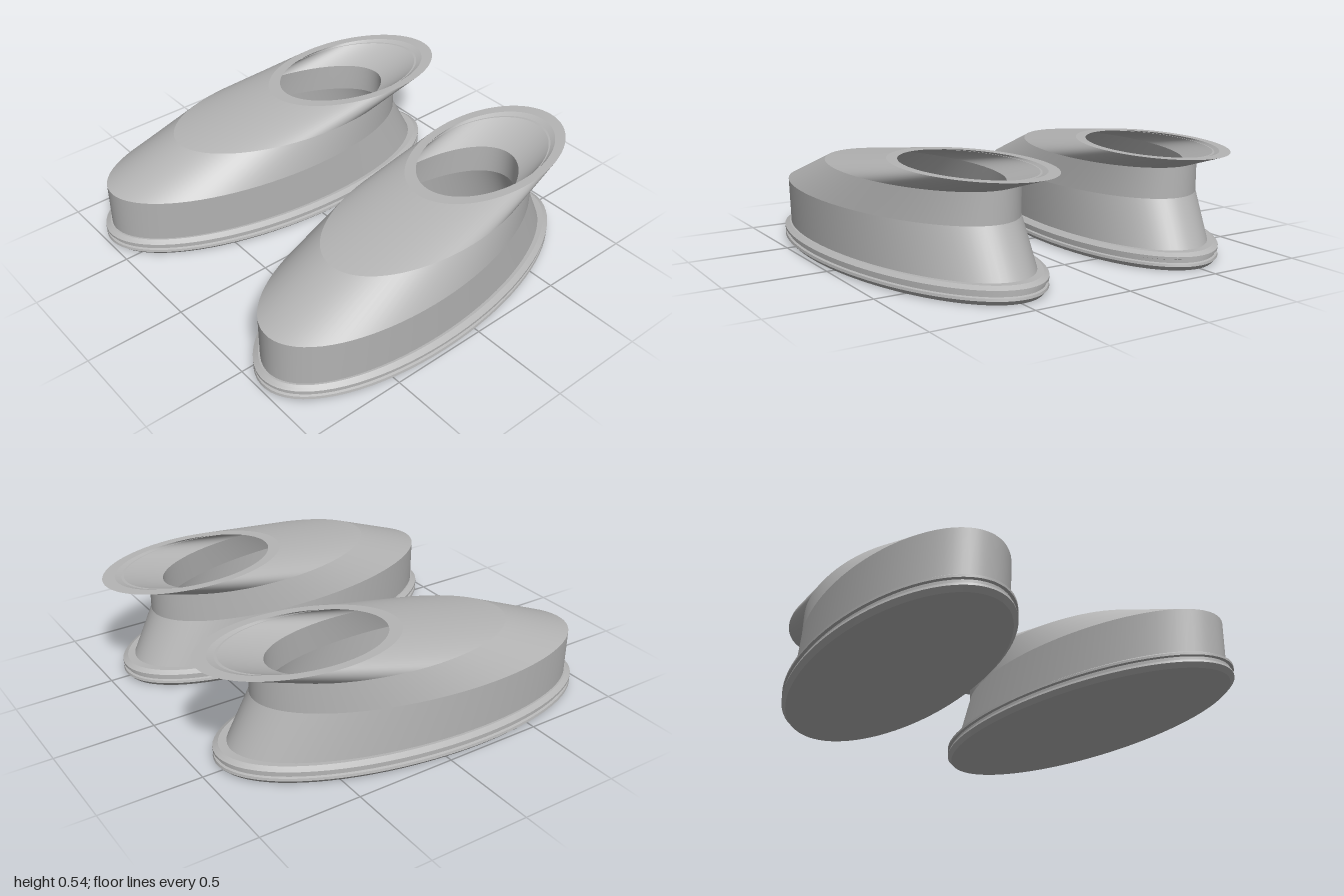
import * as THREE from 'three';

const SEGMENTS = 80;

// Lofts [y, centreZ, halfLength, halfWidth] ellipses; every band keeps its own
// vertices so it is smooth around and creased between bands.
function loft(rings) {
  const positions = [];
  const indices = [];
  const addRing = ([y, c, a, b]) => {
    for (let i = 0; i < SEGMENTS; i++) {
      const t = (i / SEGMENTS) * Math.PI * 2;
      positions.push(b * Math.cos(t), y, c + a * Math.sin(t));
    }
  };
  for (let r = 0; r < rings.length - 1; r++) {
    const base = positions.length / 3;
    addRing(rings[r]);
    addRing(rings[r + 1]);
    for (let i = 0; i < SEGMENTS; i++) {
      const j = (i + 1) % SEGMENTS;
      const p0 = base + i, p1 = base + j;
      const q0 = p0 + SEGMENTS, q1 = p1 + SEGMENTS;
      if (rings[r][2] > 0) indices.push(p0, q0, p1);
      if (rings[r + 1][2] > 0) indices.push(p1, q0, q1);
    }
  }
  const geometry = new THREE.BufferGeometry();
  geometry.setAttribute('position', new THREE.Float32BufferAttribute(positions, 3));
  geometry.setIndex(indices);
  geometry.computeVertexNormals();
  return geometry;
}

// Sole outline, inset evenly at each height to form two ribs
const soleRing = (y, inset) => [y, 0, 0.959 - inset, 0.421 - inset];

const SOLE = [
  [0, 0, 0, 0],
  soleRing(0, 0.022),
  soleRing(0.022, 0),
  soleRing(0.034, 0.003),
  soleRing(0.038, 0.014),
  soleRing(0.054, 0.014),
  soleRing(0.058, 0),
  soleRing(0.07, 0),
  soleRing(0.078, 0.014),
  soleRing(0.085, 0.026),
  [0.085, 0, 0, 0],
];

const UPPER = [
  // outside, from sole to collar
  [0.08, 0.015, 0.909, 0.382],
  [0.31, 0.075, 0.848, 0.382],
  [0.46, -0.12, 0.652, 0.342],
  [0.54, -0.535, 0.496, 0.307],
  // flat rim and small inner ledge
  [0.54, -0.535, 0.43, 0.265],
  [0.53, -0.481, 0.4495, 0.266],
  [0.53, -0.481, 0.435, 0.262],
  // inside, back down to the sole
  [0.46, -0.12, 0.58, 0.272],
  [0.31, 0.075, 0.778, 0.312],
  [0.08, 0.015, 0.839, 0.312],
];

export function createModel() {
  const model = new THREE.Group();
  model.name = 'pairOfShoes';
  const grey = new THREE.MeshStandardMaterial({ color: 0xb4b4b4 });
  grey.name = 'grey';

  const parts = { sole: loft(SOLE), upper: loft(UPPER) };

  // Each shoe is symmetric; the pair toes outward
  for (const [name, side] of [['leftShoe', 1], ['rightShoe', -1]]) {
    const shoe = new THREE.Group();
    shoe.name = name;
    for (const [part, geometry] of Object.entries(parts)) {
      const mesh = new THREE.Mesh(geometry, grey);
      mesh.name = part;
      shoe.add(mesh);
    }
    shoe.position.set(side * 0.567, 0, 0.038);
    shoe.rotation.y = side * THREE.MathUtils.degToRad(6);
    model.add(shoe);
  }
  return model;
}
